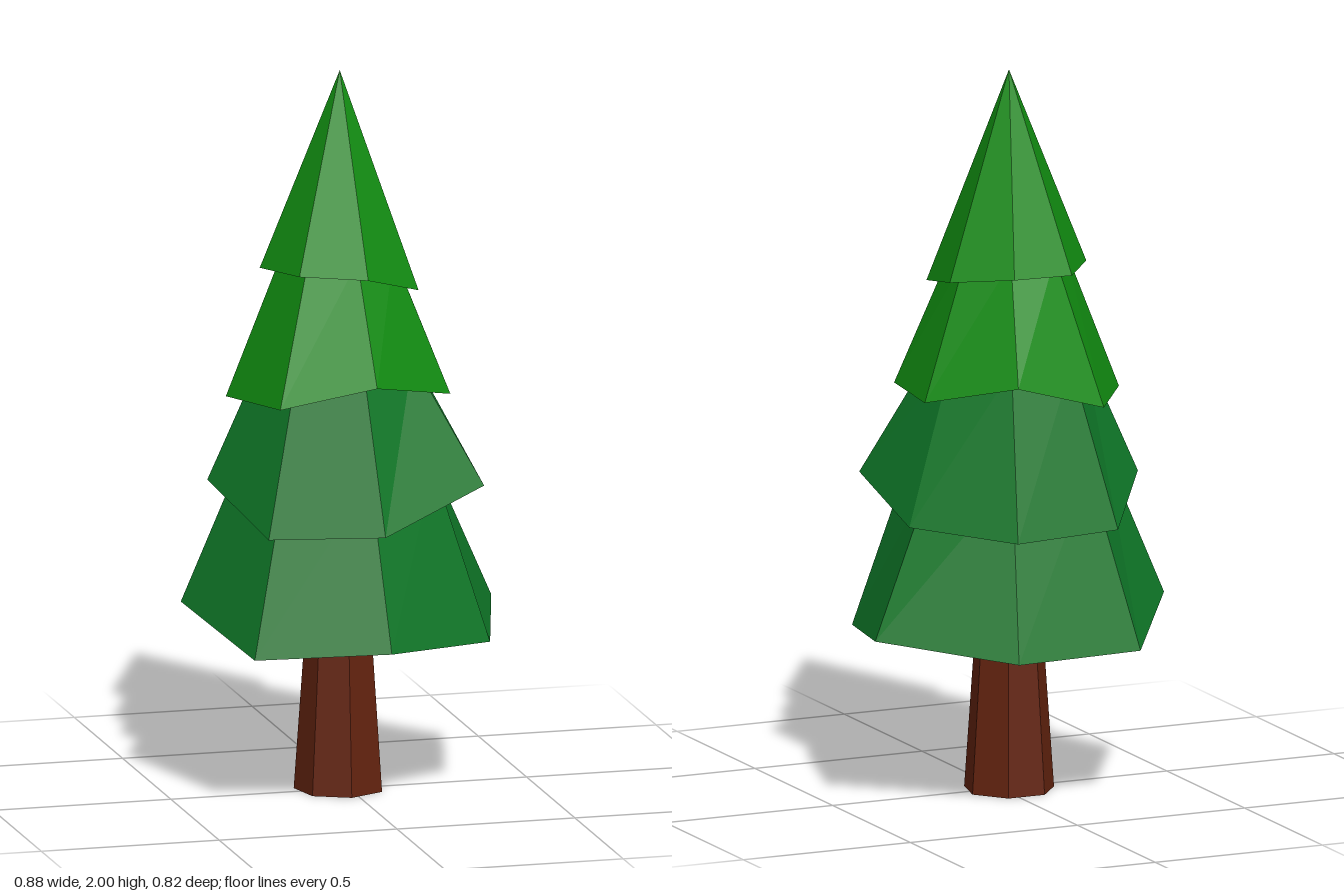
import * as THREE from 'three';

const SIDES = 7;
const AXIS = { x: -0.022, z: -0.012 }; // the tree leans slightly off centre

// regular seven-sided ring around the tree axis
function ring(radius, y) {
  return Array.from({ length: SIDES }, (_, i) => {
    const a = 0.05 + (i / SIDES) * Math.PI * 2;
    return [AXIS.x + radius * Math.sin(a), y, AXIS.z + radius * Math.cos(a)];
  });
}

// flat-sided skirt from a lower ring to an upper ring, or to a point
function skirt(lower, upper) {
  const pos = [];
  for (let i = 0; i < SIDES; i++) {
    const j = (i + 1) % SIDES;
    pos.push(...lower[i], ...lower[j], ...upper[j]);
    if (upper[i] !== upper[j]) pos.push(...lower[i], ...upper[j], ...upper[i]);
  }
  const geo = new THREE.BufferGeometry();
  geo.setAttribute('position', new THREE.Float32BufferAttribute(pos, 3));
  geo.computeVertexNormals();
  return geo;
}

export function createModel() {
  const group = new THREE.Group();
  const mat = (name, color) => {
    const m = new THREE.MeshStandardMaterial({ color, side: THREE.DoubleSide, flatShading: true });
    m.name = name;
    return m;
  };
  const bark = mat('bark brown', 0x64230f);
  const darkGreen = mat('dark green', 0x0f7828);
  const lightGreen = mat('light green', 0x118c11);

  const add = (name, geo, material) => {
    const mesh = new THREE.Mesh(geo, material);
    mesh.name = name;
    group.add(mesh);
    return mesh;
  };

  // tapered trunk, running up inside the lowest branches
  const trunk = add('trunk', new THREE.CylinderGeometry(0.062, 0.125, 0.9, SIDES), bark);
  trunk.position.set(AXIS.x, 0.45, AXIS.z);

  // uneven rims, starting at the front and going round by the left side
  const tip = Array(SIDES).fill([AXIS.x, 2, AXIS.z]);
  const tiers = [
    ['lowestBranches', darkGreen, ring(0.27, 0.92), [
      [0.01, 0.465, 0.41], [0.335, 0.44, 0.23], [0.44, 0.48, -0.145], [0.135, 0.44, -0.415],
      [-0.24, 0.44, -0.39], [-0.445, 0.525, -0.1], [-0.34, 0.44, 0.28]]],
    ['lowerBranches', darkGreen, ring(0.21, 1.21), [
      [0.01, 0.775, 0.345], [0.325, 0.87, 0.205], [0.325, 0.78, -0.117], [0.107, 0.76, -0.348],
      [-0.205, 0.765, -0.32], [-0.376, 0.865, -0.08], [-0.286, 0.76, 0.226]]],
    ['upperBranches', lightGreen, ring(0.155, 1.5), [
      [0, 1.18, 0.295], [0.243, 1.12, 0.157], [0.274, 1.12, -0.107], [0.086, 1.18, -0.305],
      [-0.18, 1.1, -0.283], [-0.33, 1.1, -0.057], [-0.248, 1.115, 0.205]]],
    ['topBranches', lightGreen, tip, [
      [0, 1.46, 0.202], [0.164, 1.405, 0.119], [0.186, 1.44, -0.079], [0.052, 1.46, -0.207],
      [-0.124, 1.455, -0.198], [-0.238, 1.455, -0.045], [-0.174, 1.465, 0.131]]],
  ];
  for (const [name, material, top, rim] of tiers) add(name, skirt(rim, top), material);

  return group;
}
